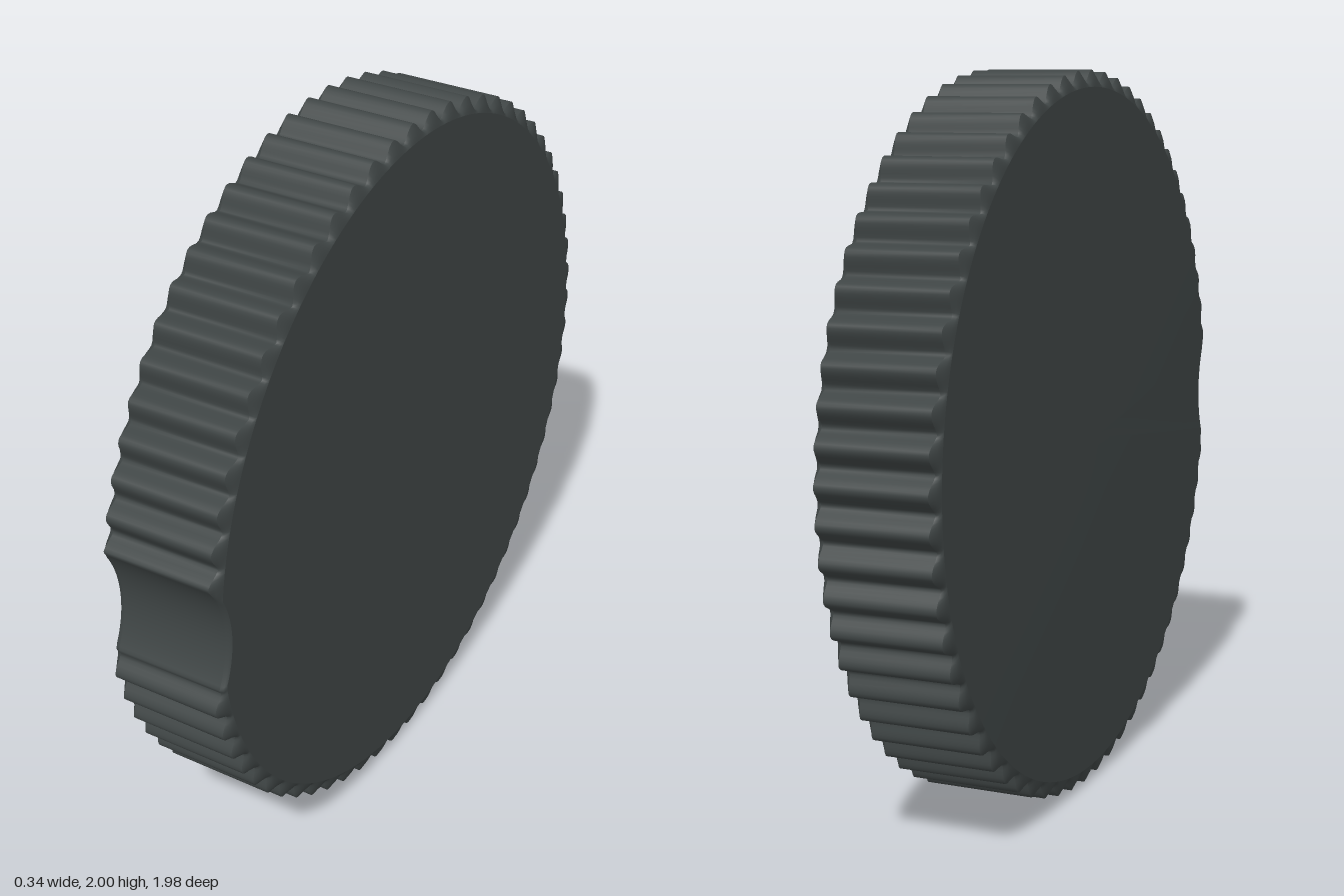
import * as THREE from 'three';

const TEETH = 64;          // ribs around the rim
const STEPS = TEETH * 12;  // points around each cross-section
const SHIFT = THREE.MathUtils.degToRad(0.9);

// Ribbed radius at angle a, measured from the front (+z) towards the top
function ribRadius(a) {
  const wave = 0.5 + 0.5 * Math.cos(TEETH * (a + SHIFT));
  return 0.962 + 0.038 * Math.pow(wave, 0.75);
}

// Distance to the round thumb notch cut into the front of the rim
function notchRadius(a) {
  const c = 1.22, r = 0.3, s = c * Math.sin(a);
  if (Math.cos(a) < 0 || Math.abs(s) >= r) return Infinity;
  return c * Math.cos(a) - Math.sqrt(r * r - s * s);
}

// Skin between rings: each is [x, scale, ribbed amount 0..1, inset]
function loft(rings) {
  const pos = [], index = [];
  for (const [x, scale, ribbed, inset] of rings) {
    for (let j = 0; j < STEPS; j++) {
      const a = (j / STEPS) * Math.PI * 2;
      const outer = THREE.MathUtils.lerp(0.962, ribRadius(a), ribbed);
      const r = (Math.min(outer, notchRadius(a)) - inset) * scale;
      pos.push(x, 1 + r * Math.sin(a), r * Math.cos(a));
    }
  }
  for (let i = 0; i < rings.length - 1; i++) {
    for (let j = 0; j < STEPS; j++) {
      const k = (j + 1) % STEPS;
      const a = i * STEPS + j, b = a + STEPS, c = (i + 1) * STEPS + k, d = i * STEPS + k;
      if (rings[i][1] > 0) index.push(a, c, d);
      if (rings[i + 1][1] > 0) index.push(a, b, c);
    }
  }
  const g = new THREE.BufferGeometry();
  g.setAttribute('position', new THREE.Float32BufferAttribute(pos, 3));
  g.setIndex(index);
  g.computeVertexNormals();
  return g;
}

export function createModel() {
  const group = new THREE.Group();
  group.name = 'knurledKnob';
  const plastic = new THREE.MeshStandardMaterial({ color: 0x3f4545 });
  plastic.name = 'dark grey plastic';

  const add = (name, rings) => {
    const mesh = new THREE.Mesh(loft(rings), plastic);
    mesh.name = name;
    group.add(mesh);
  };

  // Slightly domed face on the -x side
  const dome = [];
  for (let i = 0; i <= 6; i++) {
    const t = i / 6;
    dome.push([-0.174 + 0.01 * t * t, t, 0, 0.008]);
  }
  add('domedFace', dome);

  // Bevels and ribbed rim with the thumb notch
  add('domedSideBevel', [[-0.164, 1, 0, 0.008], [-0.16, 1, 0.5, 0.002], [-0.15, 1, 1, 0]]);
  add('ribbedRim', [[-0.15, 1, 1, 0], [0.155, 1, 1, 0]]);
  add('flatSideBevel', [[0.155, 1, 1, 0], [0.165, 1, 0.5, 0.002], [0.17, 1, 0, 0.008]]);

  // Flat face on the +x side
  add('flatFace', [[0.17, 1, 0, 0.008], [0.17, 0, 0, 0.008]]);
  return group;
}
